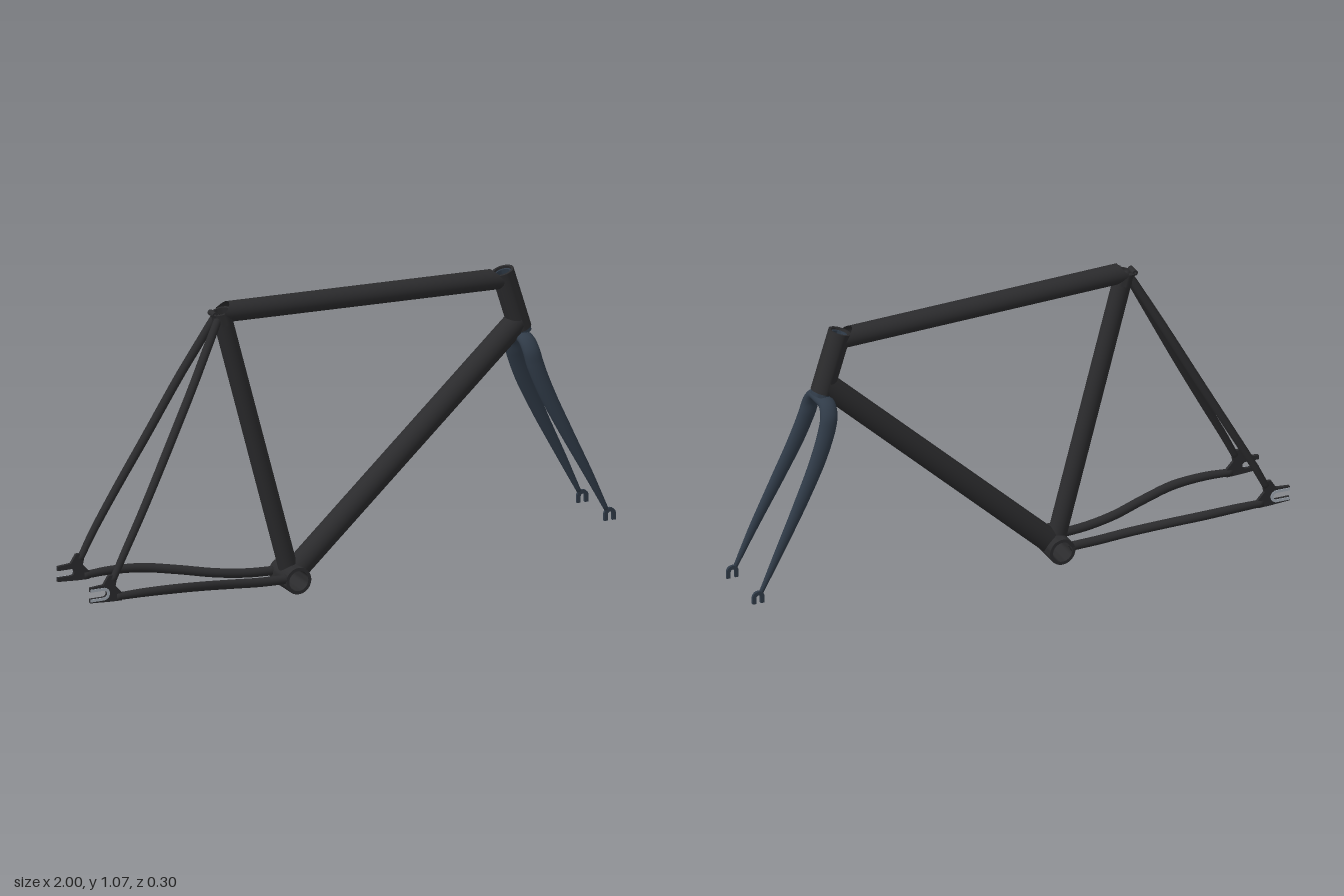
import * as THREE from 'three';
import { toCreasedNormals } from 'three/addons/utils/BufferGeometryUtils.js';

const V = (x, y, z = 0) => new THREE.Vector3(x, y, z);
const paint = (color) => new THREE.MeshStandardMaterial({ color, side: THREE.DoubleSide });
const frameMat = paint(0x2b2b2d);
const forkMat = paint(0x303b48);
const steelMat = paint(0xa3abb5);

// Main joints of the frame, all in the middle plane
const bottom = V(-0.18, 0.0475);
const seatTop = V(-0.443, 1.035);
const headTop = V(0.623, 1.027);
const headBottom = V(0.69, 0.812);

function mesh(name, geometry, material) {
  const m = new THREE.Mesh(geometry, material);
  m.name = name;
  return m;
}

// Hollow pipe with sharp rims between two points
function pipe(name, from, to, outer, inner, material) {
  const ring = new THREE.Shape().absarc(0, 0, outer, 0, Math.PI * 2);
  ring.holes.push(new THREE.Path().absarc(0, 0, inner, 0, Math.PI * 2, true));
  const axis = to.clone().sub(from);
  const geo = new THREE.ExtrudeGeometry(ring, { depth: axis.length(), bevelEnabled: false, curveSegments: 16 });
  const m = mesh(name, toCreasedNormals(geo, 0.6), material);
  m.position.copy(from);
  m.quaternion.setFromUnitVectors(V(0, 0, 1), axis.normalize());
  return m;
}

// Slide a point along direction d until it lies on a round tube (point a, axis u, radius R)
function slideOnto(p, d, { a, u, R }) {
  const w = p.clone().sub(a).projectOnPlane(u);
  const e = d.clone().projectOnPlane(u);
  const A = e.dot(e), B = w.dot(e), C = w.dot(w) - R * R;
  return p.addScaledVector(d, (-B + Math.sqrt(Math.max(0, B * B - A * C))) / A);
}

// Straight tube whose ends are mitred against the tubes they meet
function mitredTube(name, from, to, r, startOn, endOn) {
  const d = to.clone().sub(from);
  const len = d.length();
  d.normalize();
  const geo = new THREE.CylinderGeometry(r, r, len, 32, 1, true);
  geo.translate(0, len / 2, 0);
  geo.applyQuaternion(new THREE.Quaternion().setFromUnitVectors(V(0, 1, 0), d));
  geo.translate(from.x, from.y, from.z);
  const pos = geo.attributes.position;
  for (let i = 0; i < pos.count; i++) {
    const p = new THREE.Vector3().fromBufferAttribute(pos, i);
    const atStart = p.clone().sub(from).dot(d) < len / 2;
    if (atStart && startOn) slideOnto(p, d, startOn);
    if (!atStart && endOn) slideOnto(p, d.clone().negate(), endOn);
    pos.setXYZ(i, p.x, p.y, p.z);
  }
  return mesh(name, geo, frameMat);
}

// Curved tube with an oval section; rows are [x, y, z, radius along ref, radius across]
function sweep(name, rows, ref, material, steps) {
  const curve = new THREE.CatmullRomCurve3(rows.map(([x, y, z]) => V(x, y, z)));
  const sides = 20, verts = [], index = [];
  for (let k = -1; k <= steps + 1; k++) {
    const t = Math.min(Math.max(k / steps, 0), 1);
    const f = t * (rows.length - 1), i = Math.min(Math.floor(f), rows.length - 2);
    const open = k < 0 || k > steps ? 0 : 1; // the extra end rings close to a point
    const a = open * THREE.MathUtils.lerp(rows[i][3], rows[i + 1][3], f - i);
    const b = open * THREE.MathUtils.lerp(rows[i][4], rows[i + 1][4], f - i);
    const c = curve.getPoint(t), tan = curve.getTangent(t);
    const s = ref.clone().projectOnPlane(tan).normalize();
    const n = tan.clone().cross(s);
    for (let j = 0; j < sides; j++) {
      const th = (j / sides) * Math.PI * 2;
      const p = c.clone().addScaledVector(s, a * Math.cos(th)).addScaledVector(n, b * Math.sin(th));
      verts.push(p.x, p.y, p.z);
      if (k > steps) continue;
      const q = (k + 1) * sides, j2 = (j + 1) % sides;
      index.push(q + j, q + j2, q + sides + j, q + j2, q + sides + j2, q + sides + j);
    }
  }
  const geo = new THREE.BufferGeometry();
  geo.setAttribute('position', new THREE.Float32BufferAttribute(verts, 3));
  geo.setIndex(index);
  geo.computeVertexNormals();
  return mesh(name, geo, material);
}

// Flat plate cut from a shape, centred on depth z
function plate(name, shape, z, depth, material) {
  const geo = new THREE.ExtrudeGeometry(shape, { depth, bevelEnabled: false, curveSegments: 10 });
  geo.translate(0, 0, z - depth / 2);
  return mesh(name, toCreasedNormals(geo, 0.6), material);
}

// Axle slot, open to the rear, closing an outline
function rearSlot(shape) {
  shape.lineTo(-1, 0.12);
  shape.lineTo(-0.95, 0.12);
  shape.absarc(-0.95, 0.1325, 0.0125, -Math.PI / 2, Math.PI / 2, false);
  shape.lineTo(-1, 0.145);
  return shape;
}

export function createModel() {
  const model = new THREE.Group();
  model.name = 'bicycleFrame';
  const add = (...parts) => model.add(...parts);
  const shell = { a: bottom, u: V(0, 0, 1), R: 0.046 };
  const seat = { a: seatTop, u: seatTop.clone().sub(bottom).normalize(), R: 0.035 };
  const head = { a: headTop, u: headBottom.clone().sub(headTop).normalize(), R: 0.038 };
  const alongSeat = (s) => seatTop.clone().addScaledVector(seat.u, s);
  const alongHead = (s) => headTop.clone().addScaledVector(head.u, s);
  const headLength = headTop.distanceTo(headBottom);

  // Main triangle
  add(
    pipe('bottomBracketShell', V(bottom.x, bottom.y, -0.068), V(bottom.x, bottom.y, 0.068), 0.0475, 0.036, frameMat),
    pipe('headTube', headTop, headBottom, 0.04, 0.031, frameMat),
    mitredTube('seatTube', bottom, alongSeat(-0.01), 0.033, shell, null),
    mitredTube('downTube', bottom, V(0.672, 0.832), 0.042, shell, head),
    mitredTube('topTube', V(-0.443, 1.031), V(0.632, 0.999), 0.036, seat, head),
    pipe('seatCollar', alongSeat(-0.045), seatTop, 0.036, 0.028, frameMat),
    pipe('seatBinder', V(-0.473, 1.03, -0.02), V(-0.473, 1.03, 0.02), 0.01, 0.004, frameMat),
  );

  // Fork: one sweep from tip to tip over the crown
  const blade = [
    [0.965, 0.152, 0.107, 0.008, 0.007],
    [0.9, 0.285, 0.106, 0.016, 0.011],
    [0.812, 0.46, 0.099, 0.024, 0.016],
    [0.746, 0.6, 0.09, 0.029, 0.019],
    [0.709, 0.7, 0.081, 0.031, 0.021],
    [0.697, 0.75, 0.073, 0.031, 0.021],
    [0.692, 0.781, 0.048, 0.03, 0.02],
  ];
  const otherBlade = blade.map(([x, y, z, a, b]) => [x, y, -z, a, b]).reverse();
  add(
    sweep('forkBlades', [...blade, [0.692, 0.786, 0, 0.03, 0.02], ...otherBlade], V(1, 0, 0), forkMat, 112),
    pipe('crownRace', headBottom, alongHead(headLength + 0.015), 0.036, 0.02, forkMat),
    pipe('steererTube', alongHead(0.008), alongHead(headLength + 0.015), 0.0305, 0.024, forkMat),
  );

  // Small hook holding the front axle, open downward
  const hook = new THREE.Shape();
  hook.moveTo(0.999, 0.112);
  hook.lineTo(0.999, 0.135);
  hook.absarc(0.977, 0.135, 0.022, 0, Math.PI, false);
  hook.lineTo(0.955, 0.112);
  hook.lineTo(0.969, 0.112);
  hook.lineTo(0.969, 0.135);
  hook.absarc(0.977, 0.135, 0.008, Math.PI, 0, true);
  hook.lineTo(0.985, 0.112);

  // Rear axle plate and the bare metal pad around its slot
  const rearEnd = new THREE.Shape();
  [[-1, 0.16], [-0.95, 0.164], [-0.93, 0.195], [-0.897, 0.195], [-0.905, 0.155],
    [-0.88, 0.128], [-0.88, 0.1], [-0.92, 0.101], [-1, 0.106]]
    .forEach(([x, y], i) => (i ? rearEnd.lineTo(x, y) : rearEnd.moveTo(x, y)));
  rearSlot(rearEnd);
  const pad = new THREE.Shape();
  pad.moveTo(-1, 0.155);
  pad.lineTo(-0.95, 0.155);
  pad.absarc(-0.95, 0.1325, 0.0225, Math.PI / 2, -Math.PI / 2, true);
  pad.lineTo(-1, 0.11);
  rearSlot(pad);

  // Paired parts on the left and right of the wheels
  for (const [side, m] of [['near', 1], ['far', -1]]) {
    const mirrored = (rows) => rows.map(([x, y, z, r]) => [x, y, z * m, r, r]);
    add(
      sweep(side + 'ChainStay', mirrored([
        [-0.215, 0.055, 0.052, 0.016], [-0.32, 0.06, 0.056, 0.016], [-0.43, 0.073, 0.068, 0.016],
        [-0.56, 0.094, 0.1, 0.016], [-0.68, 0.11, 0.127, 0.016], [-0.8, 0.116, 0.133, 0.015],
        [-0.9, 0.114, 0.128, 0.013],
      ]), V(0, 1, 0), frameMat, 48),
      sweep(side + 'SeatStay', mirrored([
        [-0.452, 1.025, 0.012, 0.014], [-0.515, 0.91, 0.034, 0.015], [-0.575, 0.8, 0.056, 0.015],
        [-0.68, 0.605, 0.084, 0.015], [-0.79, 0.405, 0.112, 0.014], [-0.87, 0.26, 0.125, 0.013],
        [-0.913, 0.175, 0.128, 0.012],
      ]), V(0, 1, 0), frameMat, 48),
      plate(side + 'RearDropout', rearEnd, m * 0.128, 0.012, frameMat),
      plate(side + 'DropoutPad', pad, m * 0.135, 0.003, steelMat),
      plate(side + 'FrontDropout', hook, m * 0.107, 0.01, forkMat),
    );
  }
  return model;
}
